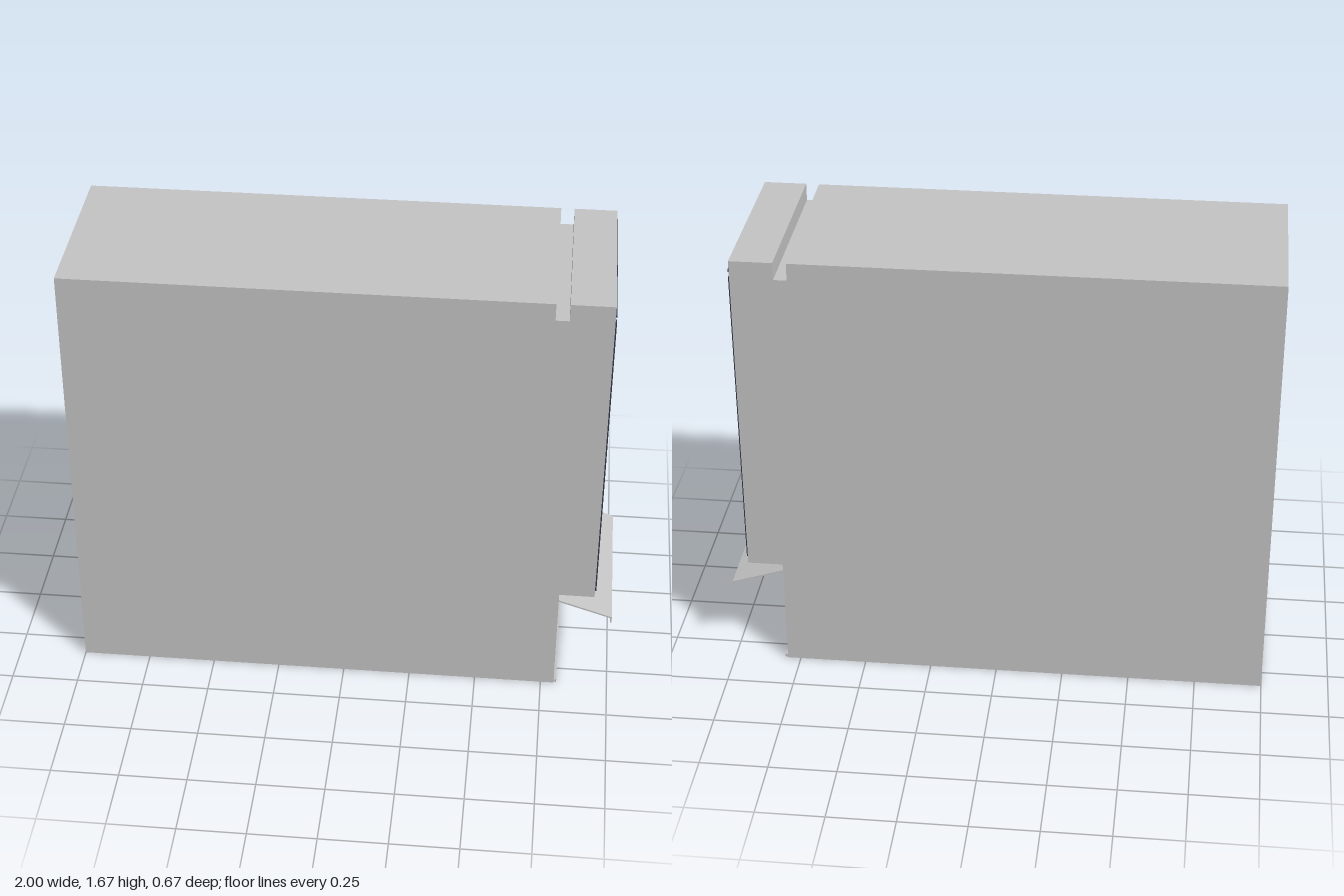
import * as THREE from 'three';

const mat = (name, color, side = THREE.FrontSide) => {
  const m = new THREE.MeshStandardMaterial({ color, side });
  m.name = name;
  return m;
};

export function createModel() {
  const root = new THREE.Group();
  root.name = 'townhouse';
  const wall = mat('wall grey', 0xc4c4c4);
  const frame = mat('dark frame', 0x252a35);
  const glass = mat('dark glass', 0x353b49);
  const blue = mat('blue transom glass', 0x64828f);
  const black = mat('black metal', 0x1b1c20);
  const planterMat = mat('planter grey', 0x555955);
  const petal = mat('pale flower', 0xbdb8b8);
  const leaf = mat('leaf', 0x4b5449);
  const metal = mat('light metal', 0xb0b0ac);

  let seed = 7;
  const rand = () => (seed = (seed * 16807) % 2147483647) / 2147483647;

  // Box given by its limits on each axis
  const box = (name, m, x0, x1, y0, y1, z0, z1, parent = root) => {
    const mesh = new THREE.Mesh(new THREE.BoxGeometry(x1 - x0, y1 - y0, Math.abs(z1 - z0)), m);
    mesh.position.set((x0 + x1) / 2, (y0 + y1) / 2, (z0 + z1) / 2);
    mesh.name = name;
    parent.add(mesh);
    return mesh;
  };
  // Side profile extruded across the width
  const slice = (name, m, pts, z0, z1) => {
    const shape = new THREE.Shape(pts.map(p => new THREE.Vector2(...p)));
    const mesh = new THREE.Mesh(new THREE.ExtrudeGeometry(shape, { depth: z1 - z0, bevelEnabled: false }), m);
    mesh.position.z = z0;
    mesh.name = name;
    root.add(mesh);
  };
  const group = name => {
    const g = new THREE.Group();
    g.name = name;
    root.add(g);
    return g;
  };

  // Body: two side walls that run forward as fins, and a core with the shop hollow
  const roof = [[0.93, 1.675], [0.775, 1.675], [0.775, 1.61], [0.727, 1.61], [0.727, 1.675], [-1, 1.675]];
  const side = [[-1, 0], [0.8, 0], [0.8, 0.425], [0.93, 0.425], ...roof];
  slice('leftSideWall', wall, side, 0.302, 0.335);
  slice('rightSideWall', wall, side, -0.335, -0.302);
  slice('core', wall, [[-1, 0], [0.8, 0], [0.8, 0.012], [0.5, 0.012], [0.5, 0.415], [0.8, 0.415], [0.8, 0.43],
    [0.78, 0.43], [0.78, 1.57], [0.9, 1.57], [0.9, 1.61], [0.93, 1.61], ...roof], -0.302, 0.302);
  box('doorStep', wall, 0.8, 0.81, 0, 0.012, -0.33, 0.33);

  // Dark trims on the facade edge
  for (const s of [-1, 1]) box('finStrip', glass, 0.93, 0.935, 0.45, 1.61, s * 0.307, s * 0.329);
  box('topTrim', glass, 0.93, 0.934, 1.634, 1.642, -0.335, 0.335);
  box('eaveTrim', frame, 0.93, 0.932, 1.608, 1.612, -0.2, 0.2);

  // Shop front
  const shop = group('shopFront');
  for (let i = 0; i < 5; i++) {
    const z = -0.293 + i * 0.1465;
    box('shopPost', frame, 0.745, 0.76, 0.012, 0.395, z - 0.005, z + 0.005, shop);
  }
  for (const [y0, y1] of [[0.014, 0.034], [0.105, 0.114], [0.292, 0.302]])
    box('shopRail', frame, 0.745, 0.76, y0, y1, -0.298, 0.298, shop);
  box('shopTransom', blue, 0.748, 0.756, 0.302, 0.412, -0.298, 0.298, shop);
  box('transomBar', frame, 0.745, 0.762, 0.385, 0.393, -0.298, 0.298, shop);
  for (const s of [-1, 1]) for (const d of [-1, 1]) {
    const z = s * 0.1465 + d * 0.013;
    box('shopHandle', metal, 0.76, 0.768, 0.1, 0.13, z - 0.002, z + 0.002, shop);
  }

  // Sloping canopy with a front lip
  slice('canopy', wall, [[0.8, 0.38], [0.994, 0.318], [0.994, 0.298], [1, 0.298], [1, 0.322], [0.8, 0.387]], -0.315, 0.32);

  // Ledges and wall bands
  const Z = 0.302;
  box('balconySlab', wall, 0.78, 0.925, 1.19, 1.22, -Z, Z);
  for (const y of [1.15, 0.775]) {
    box('windowLedge', wall, 0.78, 0.88, y, y + 0.022, -Z, Z);
    box('ledgeMoulding', wall, 0.78, 0.8, y + 0.022, y + 0.04, -Z, Z);
  }
  box('wallBand', wall, 0.78, 0.79, 0.815, 0.838, -Z, Z);
  box('baseBand', wall, 0.78, 0.8, 0.43, 0.452, -Z, Z);
  box('baseBandUpper', wall, 0.78, 0.79, 0.452, 0.468, -Z, Z);

  // Flowers scattered over a planter
  const bloomGeo = new THREE.OctahedronGeometry(0.006);
  const flowers = (g, x0, x1, y, h, z0, z1, n) => {
    for (let i = 0; i < n; i++) {
      const f = new THREE.Mesh(bloomGeo, i % 5 < 3 ? petal : leaf);
      f.name = i % 5 < 3 ? 'flower' : 'leafTuft';
      f.position.set(x0 + rand() * (x1 - x0), y + rand() * h, z0 + rand() * (z1 - z0));
      f.rotation.set(rand() * 3, rand() * 3, 0);
      f.scale.setScalar(0.6 + rand() * 0.6);
      g.add(f);
    }
  };

  // One four-leaf window with a blue transom and a slatted shelf
  const windowAt = (y, zc) => {
    const g = group('window'), w = 0.131, top = y + 0.22;
    box('windowPane', glass, 0.78, 0.784, y, top, zc - w, zc + w, g);
    box('windowTransom', blue, 0.784, 0.786, y + 0.178, top - 0.007, zc - w, zc + w, g);
    for (const [a, b] of [[y, y + 0.01], [y + 0.17, y + 0.178], [top - 0.007, top]])
      box('windowRail', frame, 0.78, 0.792, a, b, zc - w, zc + w, g);
    for (let i = 0; i < 5; i++) {
      const z = zc - w + 0.004 + i * (w - 0.004) / 2;
      box('windowPost', frame, 0.78, 0.792, y, top, z - 0.004, z + 0.004, g);
      if (i > 0 && i < 4) for (const s of [-1, 1])
        box('leafEdge', metal, 0.784, 0.789, y + 0.015, y + 0.165, z + s * 0.0045, z + s * 0.0075, g);
    }
    box('shelfRail', black, 0.826, 0.832, y - 0.006, y + 0.004, zc - 0.137, zc + 0.137, g);
    for (let i = 0; i < 16; i++) {
      const z = zc - 0.134 + i * 0.0179;
      box('shelfSlat', black, 0.78, 0.83, y - 0.005, y, z - 0.002, z + 0.002, g);
    }
  };
  for (const y of [0.92, 0.55]) {
    for (const zc of [0.153, -0.153]) windowAt(y, zc);
    const g = group('windowPlanter');
    box('planterBox', planterMat, 0.8, 0.86, y - 0.042, y - 0.006, -0.272, -0.03, g);
    box('planterRim', black, 0.797, 0.863, y - 0.008, y - 0.003, -0.275, -0.027, g);
    flowers(g, 0.8, 0.862, y - 0.002, 0.036, -0.275, -0.025, 130);
    flowers(g, 0.862, 0.866, y - 0.07, 0.07, -0.14, -0.11, 10);
  }

  // Balcony doors
  const doors = group('balconyDoors');
  box('doorPane', glass, 0.78, 0.786, 1.22, 1.54, -0.285, 0.285, doors);
  box('doorHead', frame, 0.78, 0.79, 1.533, 1.54, -0.285, 0.285, doors);
  for (let i = 0; i < 5; i++) {
    const z = -0.282 + i * 0.141;
    box('doorPost', frame, 0.78, 0.789, 1.22, 1.54, z - 0.003, z + 0.003, doors);
  }
  for (const s of [-1, 1]) for (const d of [-1, 1]) {
    const z = s * 0.141 + d * 0.012;
    box('doorHandle', metal, 0.786, 0.794, 1.36, 1.39, z - 0.0015, z + 0.0015, doors);
  }
  const lamp = new THREE.Mesh(new THREE.CylinderGeometry(0.012, 0.012, 0.012, 12), black);
  lamp.position.set(0.85, 1.564, 0);
  lamp.name = 'ceilingLamp';
  root.add(lamp);

  // Balcony railing and planter
  const rail = group('balconyRailing');
  box('handrail', black, 0.91, 0.922, 1.33, 1.34, -0.3, 0.3, rail);
  box('bottomRail', black, 0.912, 0.92, 1.222, 1.23, -0.3, 0.3, rail);
  for (let i = 0; i < 26; i++) {
    const z = -0.296 + i * 0.02368;
    box('railBar', black, 0.913, 0.919, 1.22, 1.335, z - 0.002, z + 0.002, rail);
  }
  const planter = group('balconyPlanter');
  box('planterBox', planterMat, 0.85, 0.905, 1.222, 1.268, 0.035, 0.284, planter);
  flowers(planter, 0.85, 0.908, 1.268, 0.042, 0.035, 0.284, 130);

  return root;
}
